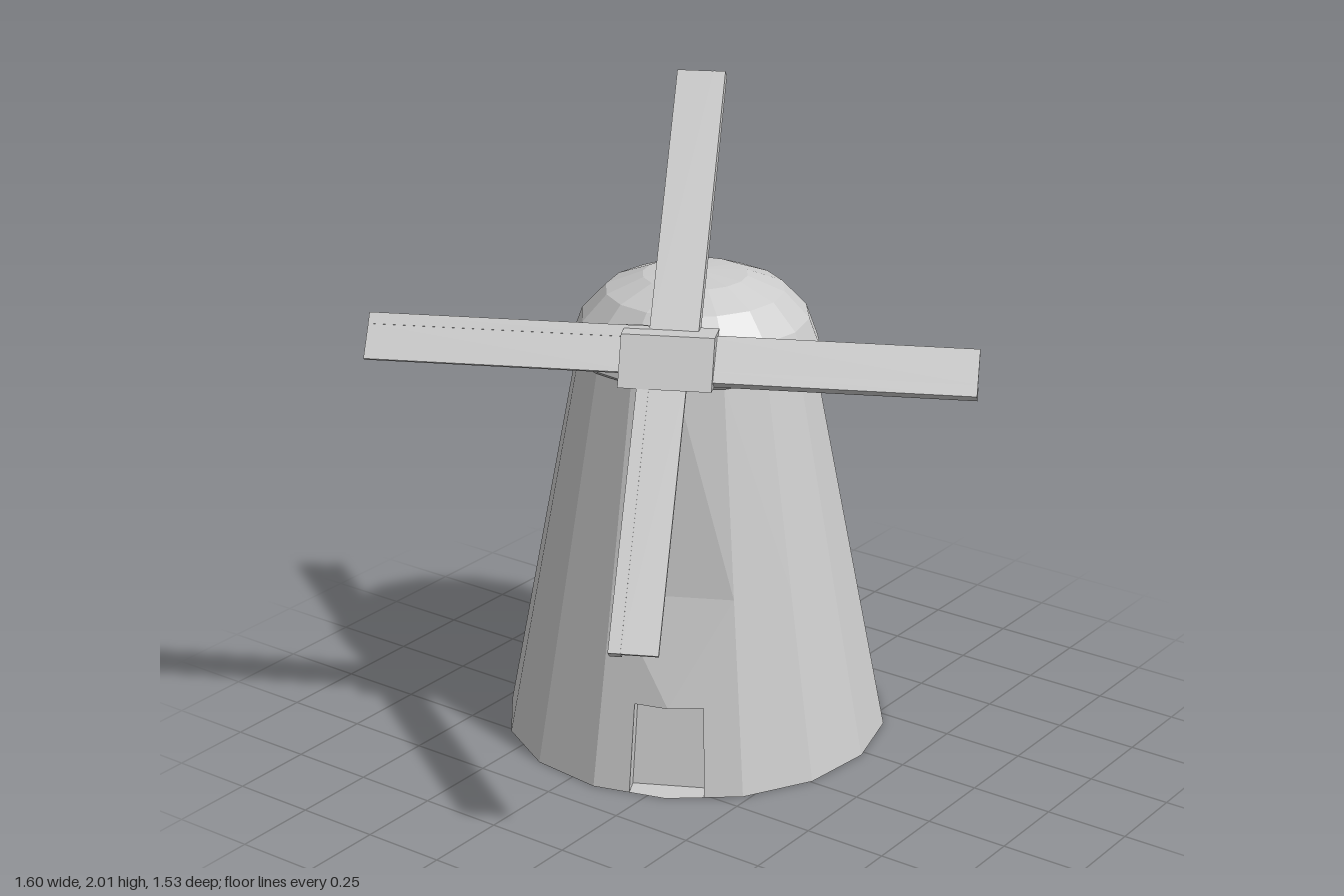
import * as THREE from 'three';

const SIDES = 16;
const YAW = THREE.MathUtils.degToRad(27.25);
const TILT = THREE.MathUtils.degToRad(39.4);
const material = new THREE.MeshStandardMaterial({ color: 0xcccccc, flatShading: true });

function mesh(geometry, name, parent) {
  const m = new THREE.Mesh(geometry, material);
  m.name = name;
  parent.add(m);
  return m;
}

// Geometry from flat polygons, each a counter-clockwise list of points
function fromPolygons(polygons) {
  const pos = [];
  for (const p of polygons)
    for (let k = 1; k < p.length - 1; k++)
      for (const v of [p[0], p[k], p[k + 1]]) pos.push(v.x, v.y, v.z);
  const g = new THREE.BufferGeometry();
  g.setAttribute('position', new THREE.Float32BufferAttribute(pos, 3));
  g.computeVertexNormals();
  return g;
}

// Tapered sixteen-sided tower, flattened above a recessed doorway
function towerPolygons() {
  const heights = [0, 0.265, 0.58, 1.2];
  const rings = heights.map((y) => {
    const r = THREE.MathUtils.lerp(0.58, 0.35, y / 1.2);
    return Array.from({ length: SIDES }, (_, i) => {
      const a = (i / SIDES) * Math.PI * 2;
      return new THREE.Vector3(r * Math.sin(a), y, r * Math.cos(a));
    });
  });
  rings[2][0].z = rings[2][1].z; // flattened front edge

  const polygons = [rings[0].slice().reverse()];
  // Jambs of the doorway at its lower and upper edge
  const jamb = (row, side) => rings[row][0].clone().lerp(rings[row][side], 0.5);
  const back = (p) => p.clone().add(new THREE.Vector3(0, 0, -0.06));
  const [l0, l1] = [jamb(0, SIDES - 1), jamb(1, SIDES - 1)];
  const [r0, r1] = [jamb(0, 1), jamb(1, 1)];

  for (let row = 0; row < 3; row++) {
    for (let i = 0; i < SIDES; i++) {
      const j = (i + 1) % SIDES;
      const [a, b, c, d] = [rings[row][i], rings[row][j], rings[row + 1][j], rings[row + 1][i]];
      if (row === 0 && i === 0) polygons.push([r0, b, c, r1]);
      else if (row === 0 && j === 0) polygons.push([a, l0, l1, d]);
      else if ((i < SIDES / 2) === (row === 2)) polygons.push([a, b, d], [b, c, d]);
      else polygons.push([a, b, c], [a, c, d]);
    }
  }

  // Door panel, reveals, lintel and sill
  polygons.push(
    [back(l0), back(r0), back(r1), back(l1)],
    [l0, back(l0), back(l1), l1],
    [back(r0), r0, r1, back(r1)],
    [back(l1), back(r1), r1, rings[1][0], l1],
    [l0, rings[0][0], r0, back(r0), back(l0)],
  );
  return polygons;
}

export function createModel() {
  const model = new THREE.Group();
  model.name = 'windmill';
  const mill = new THREE.Group();
  mill.name = 'mill';
  mill.position.set(-0.212, 0, -0.182);
  mill.rotation.y = YAW;
  model.add(mill);

  mesh(fromPolygons(towerPolygons()), 'tower', mill);

  // Domed cap with a thin rim
  const capProfile = [
    [0, 1.19], [0.36, 1.19], [0.374, 1.202], [0.338, 1.3],
    [0.265, 1.378], [0.155, 1.422], [0, 1.435],
  ].map(([r, y]) => new THREE.Vector2(r, y));
  mesh(new THREE.LatheGeometry(capProfile, SIDES), 'cap', mill);

  // Hub block with level top and bottom and slanted faces
  const hubWidth = 0.265;
  const hubShape = new THREE.Shape(
    [[0.51, 1.262], [0.555, 1.262], [0.488, 1.398], [0.404, 1.398]].map(([z, y]) => new THREE.Vector2(z, y)),
  );
  const hub = new THREE.ExtrudeGeometry(hubShape, { depth: hubWidth, bevelEnabled: false });
  hub.rotateY(-Math.PI / 2).translate(hubWidth / 2, 0, 0);
  mesh(hub, 'hub', mill);

  // Rotor leaning back, with four matching blades
  const rotor = new THREE.Group();
  rotor.name = 'rotor';
  rotor.position.set(0, 1.333, 0.469);
  rotor.rotation.x = -TILT;
  mill.add(rotor);

  const shaft = new THREE.CylinderGeometry(0.04, 0.04, 0.24, 6).rotateX(Math.PI / 2);
  mesh(shaft, 'shaft', rotor).position.z = -0.11;

  const inner = 0.06, outer = 0.865;
  const length = outer - inner, middle = (outer + inner) / 2;
  for (let i = 0; i < 4; i++) {
    const blade = new THREE.Group();
    blade.name = 'blade';
    blade.rotation.z = (i * Math.PI) / 2;
    rotor.add(blade);
    mesh(new THREE.BoxGeometry(0.035, length, 0.036), 'bladeBeam', blade).position.set(0.062, middle, 0);
    mesh(new THREE.BoxGeometry(0.105, length, 0.01), 'bladeSail', blade).position.set(-0.008, middle, 0.012);
  }
  return model;
}
